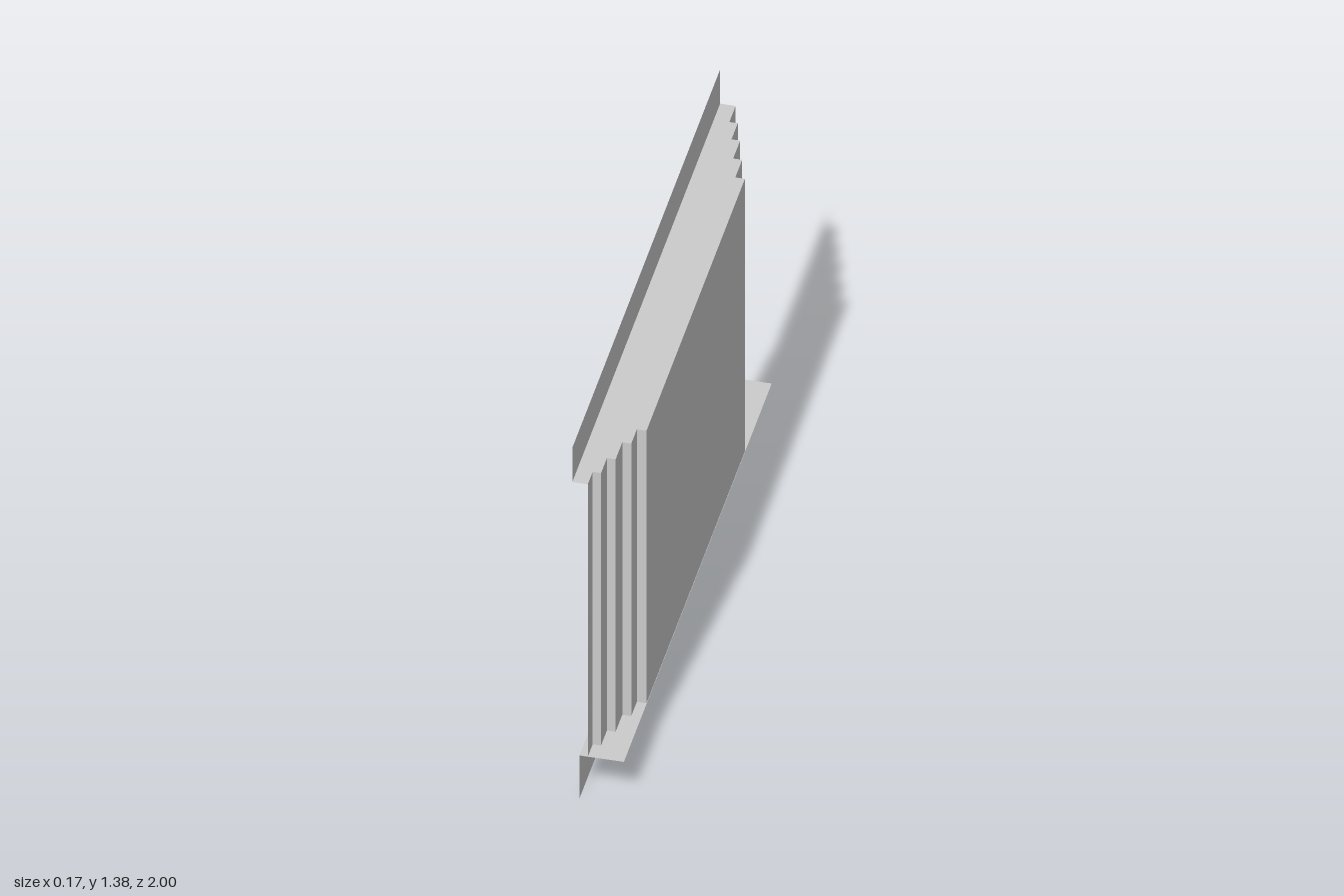
import * as THREE from 'three';

const material = new THREE.MeshStandardMaterial({ color: 0xcccccc, side: THREE.DoubleSide, flatShading: true });

// Main levels
const LEDGE_LOW = 0.17, LEDGE_HIGH = 1.245, TOP = 1.38;
const BACK = -0.083, FRONT = 0.083, LOWER_BACK = -0.06;

// Stepped plan outline [x, z], running from the +z end to the -z end
function steppedOutline() {
  const depths = [-0.033, -0.006, 0.022, 0.051, 0.082];
  const nearBreaks = [0.934, 0.855, 0.765, 0.69];
  const farBreaks = [-0.915, -0.83, -0.735, -0.642];
  const near = [[depths[0], 1]];
  const far = [[depths[0], -1]];
  for (let i = 0; i < 4; i++) {
    near.push([depths[i], nearBreaks[i]], [depths[i + 1], nearBreaks[i]]);
    far.push([depths[i], farBreaks[i]], [depths[i + 1], farBreaks[i]]);
  }
  return [...near, ...far.reverse()];
}

// Vertical sheet swept upward along a plan outline
function wall(name, outline, y0, y1) {
  const positions = [];
  for (let i = 0; i < outline.length - 1; i++) {
    const [ax, az] = outline[i], [bx, bz] = outline[i + 1];
    positions.push(ax, y0, az, bx, y0, bz, bx, y1, bz);
    positions.push(ax, y0, az, bx, y1, bz, ax, y1, az);
  }
  const geometry = new THREE.BufferGeometry();
  geometry.setAttribute('position', new THREE.Float32BufferAttribute(positions, 3));
  geometry.computeVertexNormals();
  const mesh = new THREE.Mesh(geometry, material);
  mesh.name = name;
  return mesh;
}

// Horizontal sheet filling a plan outline
function ledge(name, outline, y) {
  const shape = new THREE.Shape(outline.map(([x, z]) => new THREE.Vector2(x, -z)));
  const geometry = new THREE.ShapeGeometry(shape);
  geometry.rotateX(-Math.PI / 2);
  const mesh = new THREE.Mesh(geometry, material);
  mesh.name = name;
  mesh.position.y = y;
  return mesh;
}

export function createModel() {
  const model = new THREE.Group();
  model.name = 'steppedWallPanel';
  const outline = steppedOutline();

  // Stepped panel between the two ledges
  model.add(wall('steppedPanel', outline, LEDGE_LOW, LEDGE_HIGH));

  // Upper ledge follows the steps and meets the upright strip behind
  model.add(ledge('upperLedge', [...outline, [BACK, -1], [BACK, 1]], LEDGE_HIGH));
  model.add(wall('upperStrip', [[BACK, 1], [BACK, -1]], LEDGE_HIGH, TOP));

  // Lower ledge is a plain rectangle above the base strip
  model.add(ledge('lowerLedge', [[LOWER_BACK, 1], [FRONT, 1], [FRONT, -1], [LOWER_BACK, -1]], LEDGE_LOW));
  model.add(wall('baseStrip', [[LOWER_BACK, 1], [LOWER_BACK, -1]], 0, LEDGE_LOW));

  return model;
}
